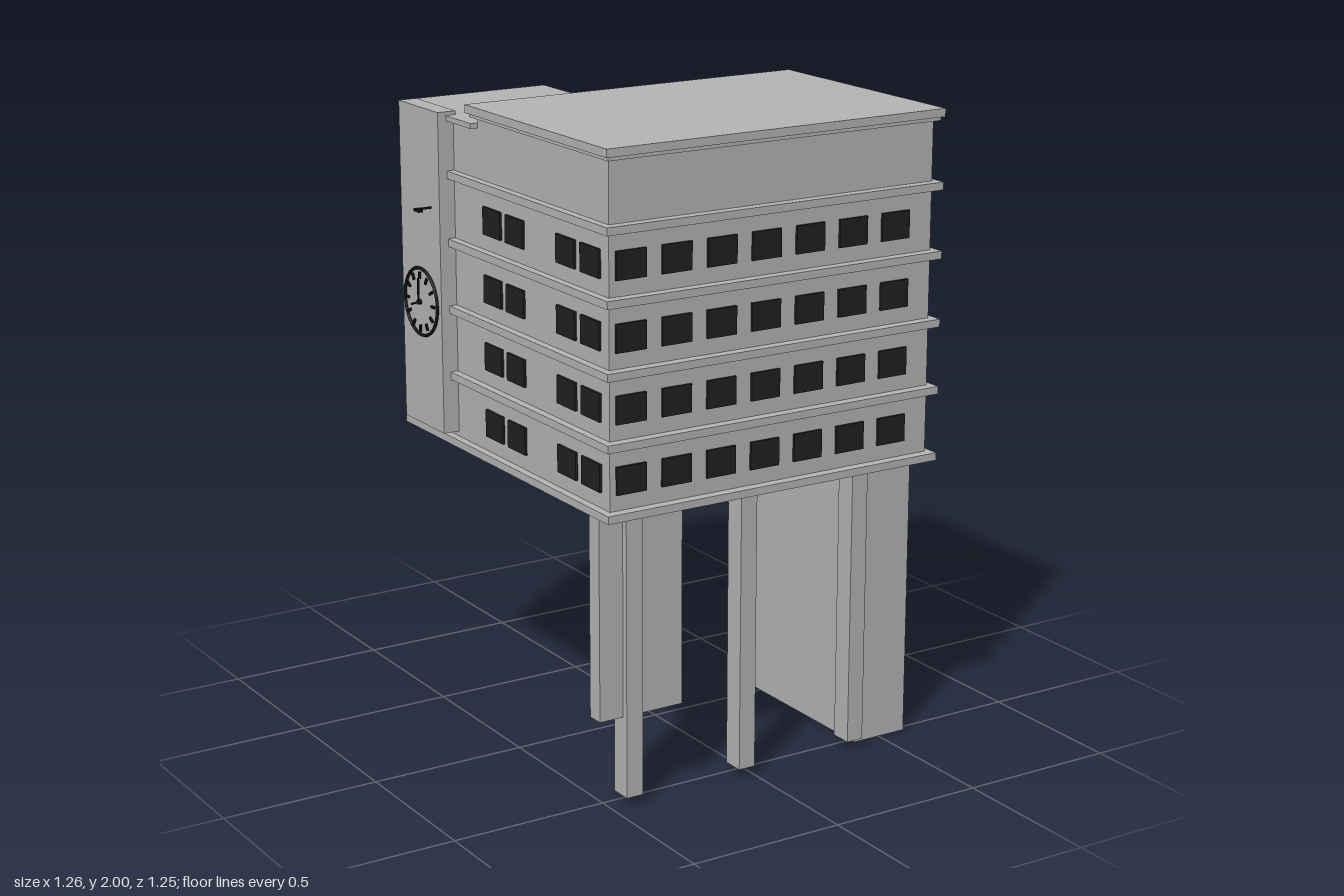
import * as THREE from 'three';

const material = (name, color) => {
  const m = new THREE.MeshStandardMaterial({ color });
  m.name = name;
  return m;
};

export function createModel() {
  const concrete = material('concrete grey', 0xb6b6b6);
  const glass = material('dark glass', 0x202020);
  const iron = material('black iron', 0x141414);
  const model = new THREE.Group();
  model.name = 'officeBuilding';

  const group = (name) => {
    const g = new THREE.Group();
    g.name = name;
    model.add(g);
    return g;
  };
  // Box given by its extents along each axis
  const box = (name, mat, x0, x1, y0, y1, z0, z1, parent = model) => {
    const m = new THREE.Mesh(new THREE.BoxGeometry(x1 - x0, y1 - y0, z1 - z0), mat);
    m.name = name;
    m.position.set((x0 + x1) / 2, (y0 + y1) / 2, (z0 + z1) / 2);
    parent.add(m);
    return m;
  };

  // Wall volumes of the L-shaped plan
  box('mainWalls', concrete, -0.525, 0.6, 0.93, 1.975, -0.155, 0.59);
  box('wingWalls', concrete, -0.525, -0.05, 0.93, 1.94, -0.6, -0.155);

  // Projecting floor slabs
  const slabs = group('floorSlabs');
  const pitch = 0.21;
  for (let i = 0; i < 5; i++) {
    const y = 0.915 + i * pitch;
    box('mainSlab', concrete, -0.55, 0.62, y, y + 0.024, -0.19, 0.622, slabs);
    box('wingSlab', concrete, -0.55, -0.03, y, y + 0.024, -0.615, -0.19, slabs);
  }

  // Roofs
  box('mainRoofLip', concrete, -0.54, 0.61, 1.963, 1.975, -0.18, 0.612);
  box('mainRoof', concrete, -0.55, 0.62, 1.975, 2, -0.19, 0.622);
  box('wingRoof', concrete, -0.55, -0.03, 1.932, 1.948, -0.618, -0.156);

  // Windows, sills and pilasters, floor by floor
  const windows = group('windows');
  const pilasters = group('pilasters');
  const backWindow = (x, y, z) => {
    for (const s of [-1, 1]) {
      const c = x + s * 0.027;
      box('backWindowPane', glass, c - 0.024, c + 0.024, y + 0.045, y + 0.17, z - 0.008, z, windows);
    }
    box('windowSill', concrete, x - 0.055, x + 0.055, y + 0.03, y + 0.043, z - 0.022, z, windows);
  };
  for (let f = 0; f < 4; f++) {
    const y = 0.915 + f * pitch;
    for (let i = 0; i < 7; i++) {
      const x = -0.455 + i * 0.1535;
      box('frontWindow', glass, x - 0.05, x + 0.05, y + 0.072, y + 0.157, 0.59, 0.598, windows);
    }
    for (const z of [-0.07, 0.065, 0.36, 0.495])
      box('sideWindow', glass, -0.533, -0.525, y + 0.072, y + 0.157, z - 0.052, z + 0.052, windows);
    for (const x of [0.45, 0.297, 0.146, 0.005]) backWindow(x, y, -0.155);
    for (const x of [-0.455, -0.32, -0.185]) backWindow(x, y, -0.6);
    for (const x of [-0.4, -0.265, -0.13])
      box('wingPilaster', concrete, x - 0.007, x + 0.007, y + 0.024, y + 0.21, -0.625, -0.6, pilasters);
  }
  for (const x of [0.07, 0.225, 0.375, 0.53])
    box('mainPilaster', concrete, x - 0.007, x + 0.007, 0.94, 1.76, -0.196, -0.155, pilasters);

  // Plain panels along the back of the top floor
  box('topFloorCornerPanel', concrete, 0.33, 0.63, 1.79, 1.955, -0.18, -0.155);
  box('topFloorPanel', concrete, 0.16, 0.29, 1.79, 1.955, -0.17, -0.155);
  box('topFloorPanel', concrete, 0.0, 0.13, 1.79, 1.955, -0.17, -0.155);

  // Supports below the raised floors
  for (const x of [-0.427, -0.027, 0.377])
    box('frontColumn', concrete, x - 0.028, x + 0.028, 0.028, 0.92, 0.495, 0.565);
  box('hangingWall', concrete, -0.535, -0.25, 0.28, 0.92, 0.49, 0.545);
  box('stairCore', concrete, 0.406, 0.597, 0, 0.92, -0.182, 0.522);

  // Clock tower on the left side of the wing
  box('clockTower', concrete, -0.578, -0.517, 0.955, 1.96, -0.56, -0.308);
  const clock = group('clock');
  clock.position.set(-0.582, 1.35, -0.434);
  clock.rotation.y = -Math.PI / 2;
  const rim = new THREE.Mesh(new THREE.TorusGeometry(0.106, 0.005, 8, 40), iron);
  rim.name = 'clockRim';
  clock.add(rim);
  for (let i = 0; i < 12; i++) {
    const a = (i * Math.PI) / 6;
    const mark = box('hourMark', iron, -0.004, 0.004, -0.011, 0.011, 0, 0.006, clock);
    mark.position.set(Math.sin(a) * 0.084, Math.cos(a) * 0.084, 0.004);
    mark.rotation.z = -a;
  }
  const hand = (name, length, angle) => {
    const h = box(name, iron, -0.003, 0.003, 0, length, 0, 0.005, clock);
    h.position.set(Math.sin(angle) * length / 2, Math.cos(angle) * length / 2, 0.009);
    h.rotation.z = -angle;
  };
  hand('minuteHand', 0.075, 0);
  hand('hourHand', 0.05, -1.9);
  const hub = new THREE.Mesh(new THREE.CylinderGeometry(0.008, 0.008, 0.012, 16), iron);
  hub.name = 'clockHub';
  hub.rotation.x = Math.PI / 2;
  hub.position.z = 0.007;
  clock.add(hub);

  // Lamp on a short arm above the clock
  const lamp = group('towerLamp');
  box('lampArm', iron, -0.62, -0.578, 1.657, 1.663, -0.364, -0.358, lamp);
  box('lampHead', iron, -0.63, -0.615, 1.652, 1.661, -0.377, -0.345, lamp);

  // Entrance canopy, door frame and small wall lights
  box('entranceCanopy', concrete, 0.38, 0.606, 0.85, 0.87, -0.315, -0.14);
  const door = group('doorFrame');
  for (const x of [0.42, 0.55])
    box('doorJamb', iron, x - 0.005, x + 0.005, 0.665, 0.825, -0.192, -0.182, door);
  for (const y of [0.67, 0.82])
    box('doorRail', iron, 0.42, 0.55, y - 0.005, y + 0.005, -0.192, -0.182, door);
  box('canopyLight', iron, 0.48, 0.51, 0.842, 0.85, -0.295, -0.27);
  box('wallLight', iron, 0.595, 0.61, 0.85, 0.87, -0.17, -0.155);

  // Pair of railings running back from the entrance
  for (const x of [0.392, 0.592]) {
    const rail = group('railing');
    for (const y of [0.667, 0.76, 0.812])
      box('railBar', iron, x - 0.003, x + 0.003, y - 0.003, y + 0.003, -0.477, -0.182, rail);
    for (let i = 0; i < 15; i++) {
      const z = -0.2 - i * 0.0195;
      box('baluster', iron, x - 0.002, x + 0.002, 0.667, 0.812, z - 0.002, z + 0.002, rail);
    }
    for (const [z, top] of [[-0.19, 0.82], [-0.342, 0.82], [-0.475, 0.845]])
      box('railPost', iron, x - 0.004, x + 0.004, 0.66, top, z - 0.004, z + 0.004, rail);
  }
  box('postLamp', iron, 0.563, 0.596, 0.838, 0.847, -0.482, -0.47);

  return model;
}
